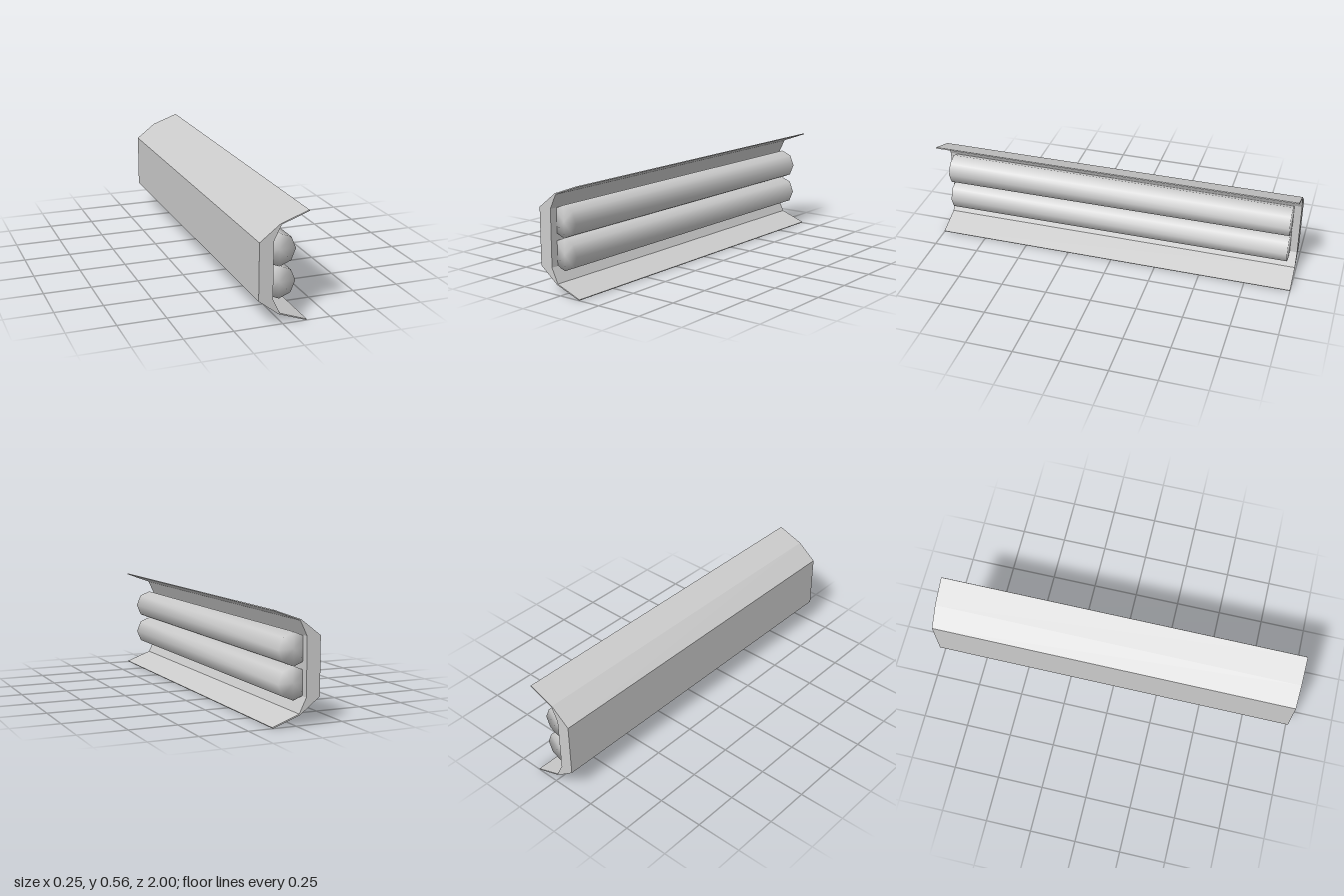
import * as THREE from 'three';
import { mergeVertices } from 'three/addons/utils/BufferGeometryUtils.js';

const MID = 0.28; // height of the mirror plane

export function createModel() {
  const group = new THREE.Group();
  const grey = new THREE.MeshStandardMaterial({ color: 0xcccccc });
  grey.name = 'light grey';

  // Housing with splayed reflector wings: upper half profile, mirrored below
  const half = [
    [-0.053, 0.147], [-0.016, 0.223], [0.126, 0.275],
    [0.123, 0.28], [-0.021, 0.228], [-0.126, 0.147],
  ];
  const upper = half.map(([x, y]) => new THREE.Vector2(x, MID + y));
  const lower = half.map(([x, y]) => new THREE.Vector2(x, MID - y)).reverse();
  const housingGeo = new THREE.ExtrudeGeometry(new THREE.Shape([...upper, ...lower]), {
    depth: 2, bevelEnabled: false,
  });
  housingGeo.translate(0, 0, -1);
  const housing = new THREE.Mesh(housingGeo, grey);
  housing.name = 'housing';
  group.add(housing);

  // Two eight-sided lamp tubes, with normals shared across the end caps
  let tubeGeo = new THREE.CylinderGeometry(0.083, 0.083, 1.92, 8);
  tubeGeo.rotateX(Math.PI / 2);
  tubeGeo.deleteAttribute('uv');
  tubeGeo.deleteAttribute('normal');
  tubeGeo = mergeVertices(tubeGeo, 1e-4);
  tubeGeo.computeVertexNormals();
  for (const [name, side] of [['upperTube', 1], ['lowerTube', -1]]) {
    const tube = new THREE.Mesh(tubeGeo, grey);
    tube.name = name;
    tube.position.set(-0.005, MID + side * 0.082, 0);
    group.add(tube);
  }
  return group;
}
